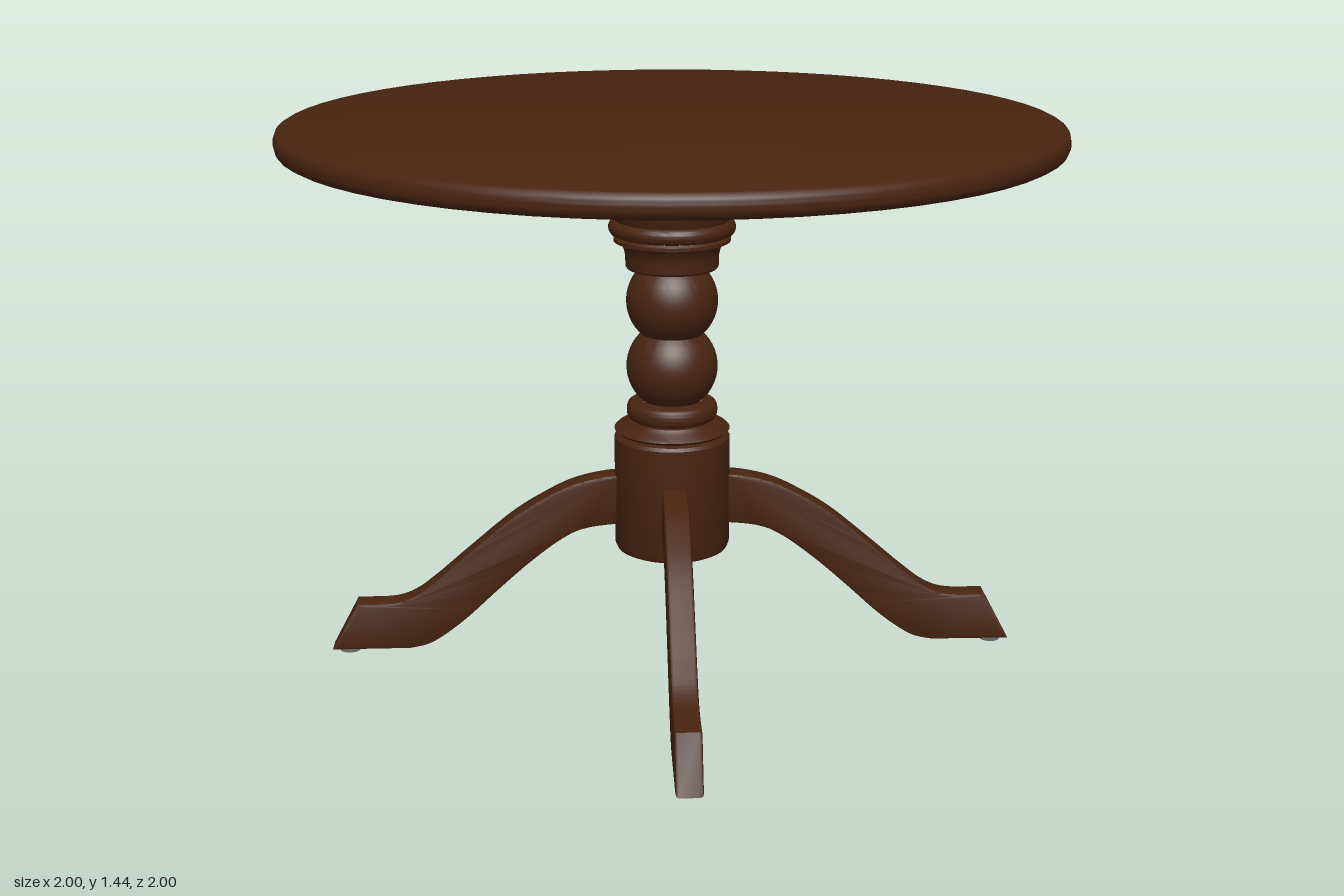
import * as THREE from 'three';
import { toCreasedNormals } from 'three/addons/utils/BufferGeometryUtils.js';

const wood = new THREE.MeshStandardMaterial({ color: 0x482410 });
wood.name = 'dark wood';
const metal = new THREE.MeshStandardMaterial({ color: 0x6a6a6a });
metal.name = 'grey metal';

const part = (name, geometry, material = wood) => {
  const mesh = new THREE.Mesh(geometry, material);
  mesh.name = name;
  return mesh;
};

// Turned part from [radius, height] pairs, with sharp edges kept
const turned = (name, pairs, segments = 64) => part(name, toCreasedNormals(
  new THREE.LatheGeometry(pairs.map(([r, y]) => new THREE.Vector2(r, y)), segments), 0.6));

// Profile points of a ball or half-round bead between two heights
function bead(centreY, radius, halfHeight, baseRadius = 0, steps = 14) {
  const points = [];
  for (let i = 0; i <= steps; i++) {
    const t = -1 + (2 * i) / steps;
    const y = halfHeight * t;
    const r = baseRadius ? baseRadius + radius * Math.sqrt(1 - t * t)
      : Math.sqrt(radius * radius - y * y);
    points.push([r, centreY + y]);
  }
  return points;
}

// Side outline of a leg: x is the distance from the column axis
function legGeometry() {
  const v = (pairs) => pairs.map(([x, y]) => new THREE.Vector2(x, y));
  const shape = new THREE.Shape();
  shape.moveTo(0.1, 0.495);
  shape.splineThru(v([[0.17, 0.495], [0.26, 0.475], [0.34, 0.437], [0.43, 0.38],
    [0.54, 0.288], [0.63, 0.21], [0.69, 0.165], [0.75, 0.144], [0.85, 0.142]]));
  shape.lineTo(0.92, 0.01);
  shape.lineTo(0.71, 0.01);
  shape.splineThru(v([[0.66, 0.022], [0.61, 0.052], [0.55, 0.1], [0.47, 0.175],
    [0.38, 0.255], [0.29, 0.322], [0.22, 0.35], [0.1, 0.362]]));
  shape.closePath();
  const geometry = new THREE.ExtrudeGeometry(shape, {
    depth: 0.05, curveSegments: 32, bevelEnabled: true, bevelThickness: 0.008,
    bevelSize: 0.008, bevelOffset: -0.008, bevelSegments: 2,
  });
  geometry.translate(0, 0, -0.025);
  return toCreasedNormals(geometry, 0.5);
}

export function createModel() {
  const table = new THREE.Group();
  table.name = 'pedestalTable';

  // Round top with a rounded rim
  table.add(turned('tableTop', [[0, 1.378], [0.982, 1.378],
    ...bead(1.408, 0.018, 0.03, 0.982, 10).slice(1, -1), [0.982, 1.438], [0, 1.438]], 64));

  // Mounting plate under the top
  table.add(turned('mountingPlate', [[0, 1.345], [0.308, 1.345], [0.308, 1.379], [0, 1.379]]));

  // Turned column, from the base block up to the plate
  table.add(turned('columnBase', [[0, 0.285], [0.135, 0.285], [0.147, 0.291], [0.153, 0.305],
    [0.153, 0.598], [0.146, 0.606], [0.13, 0.61], [0.13, 0.618]]));
  table.add(turned('lowerRing', [[0.1, 0.614], [0.146, 0.614], [0.153, 0.621], [0.146, 0.628],
    [0.128, 0.635], [0.118, 0.647], [0.1, 0.65]]));
  table.add(turned('lowerBead', [[0.08, 0.65], ...bead(0.672, 0.012, 0.024, 0.108, 10), [0.08, 0.7]]));
  table.add(turned('lowerBall', bead(0.79, 0.12, 0.095)));
  table.add(turned('upperBall', bead(0.967, 0.12, 0.1)));
  table.add(turned('collar', [[0.07, 1.055], [0.117, 1.055], [0.121, 1.06], [0.122, 1.09],
    [0.126, 1.108], [0.136, 1.122], [0.152, 1.127], [0.152, 1.136], [0.145, 1.142]]));
  table.add(turned('upperRing', [[0.12, 1.143], ...bead(1.163, 0.016, 0.02, 0.149, 10), [0.12, 1.183]]));
  table.add(turned('columnHead', [[0.145, 1.178], [0.153, 1.19], [0.153, 1.346]]));

  // Four curved legs, each with a metal glide under its foot
  const legShape = legGeometry();
  const glideShape = new THREE.CylinderGeometry(0.027, 0.027, 0.014, 24);
  for (let i = 0; i < 4; i++) {
    const leg = new THREE.Group();
    leg.name = 'leg';
    const glide = part('footGlide', glideShape, metal);
    glide.position.set(0.875, 0.007, 0);
    leg.add(part('legBody', legShape), glide);
    leg.rotation.y = -0.923 + (i * Math.PI) / 2;
    table.add(leg);
  }

  // Screws holding the plate to the top
  const washerShape = new THREE.CylinderGeometry(0.03, 0.03, 0.006, 20);
  const headShape = new THREE.CylinderGeometry(0.016, 0.012, 0.012, 6);
  for (const [x, z] of [[0.2, -0.175], [0.19, 0.135], [-0.165, -0.14], [-0.165, 0.135]]) {
    const screw = new THREE.Group();
    screw.name = 'plateScrew';
    const head = part('screwHead', headShape, metal);
    head.position.y = -0.008;
    screw.add(part('washer', washerShape, metal), head);
    screw.position.set(x, 1.343, z);
    table.add(screw);
  }
  return table;
}
